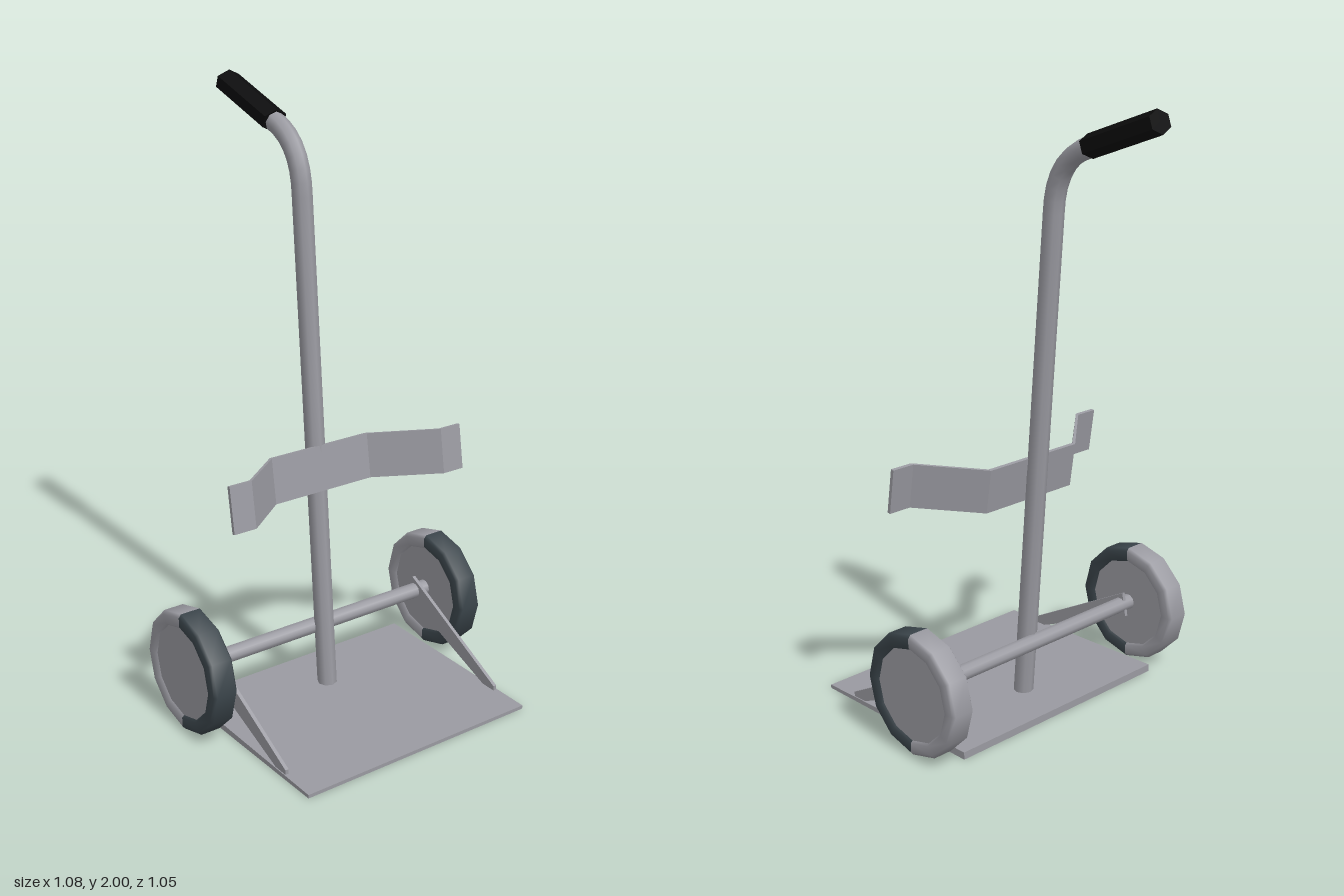
import * as THREE from 'three';

const mat = (name, color, side = THREE.FrontSide) =>
  Object.assign(new THREE.MeshStandardMaterial({ color, side }), { name });

export function createModel() {
  const group = new THREE.Group();
  const steel = mat('steel grey', 0x9a9aa1);
  const rubber = mat('tyre dark grey', 0x3a444a);
  const black = mat('grip black', 0x0b0b0c);

  const add = (name, geometry, material, x = 0, y = 0, z = 0) => {
    const mesh = new THREE.Mesh(geometry, material);
    mesh.name = name;
    mesh.position.set(x, y, z);
    group.add(mesh);
    return mesh;
  };
  const extrude = (points, depth) => new THREE.ExtrudeGeometry(
    new THREE.Shape(points.map(([x, y]) => new THREE.Vector2(x, y))),
    { depth, bevelEnabled: false }).translate(0, 0, -depth / 2);
  // Side profiles are given as [z, y] and extruded across x
  const sideProfile = (points, width) => extrude(points, width).rotateY(-Math.PI / 2);

  // Toe plate, thinner at its front lip
  add('toePlate', sideProfile([[-0.145, 0], [0.53, 0], [0.53, 0.012], [-0.145, 0.025]], 0.867), steel);

  // Leaning pole with a bend at the top
  const v = (y, z) => new THREE.Vector3(0, y, z);
  const path = new THREE.CurvePath();
  path.add(new THREE.LineCurve3(v(0.015, 0.035), v(1.68, -0.1)));
  path.add(new THREE.QuadraticBezierCurve3(v(1.68, -0.1), v(1.83, -0.115), v(1.87, -0.25)));
  add('pole', new THREE.TubeGeometry(path, 48, 0.033, 8), steel);

  // Faceted hand grip
  const from = v(1.87, -0.245), to = v(1.963, -0.511);
  const gripShape = new THREE.CylinderGeometry(0.047, 0.047, from.distanceTo(to), 6).scale(0.98, 1, 0.8);
  const grip = add('handGrip', gripShape, black);
  grip.position.copy(from).lerp(to, 0.5);
  grip.quaternion.setFromUnitVectors(new THREE.Vector3(0, 1, 0), to.clone().sub(from).normalize());
  gripShape.deleteAttribute('normal');
  grip.geometry = gripShape.toNonIndexed();
  grip.geometry.computeVertexNormals();

  // Bent load strap, square to the lean of the pole
  const bend = [[-0.452, 0.163], [-0.373, 0.163], [-0.19, 0], [0.187, 0], [0.367, 0.163], [0.447, 0.163]];
  const outline = [
    ...bend.map(([x, z]) => [x, z - 0.006]),
    ...bend.map(([x, z]) => [x, z + 0.006]).reverse(),
  ];
  const strap = add('loadStrap', extrude(outline, 0.15).rotateX(Math.PI / 2), steel, 0, 0.787, 0.003);
  strap.rotation.x = -0.15;

  // Axle
  add('axle', new THREE.CylinderGeometry(0.027, 0.027, 0.96, 10).rotateZ(Math.PI / 2), steel, 0, 0.215, -0.018);

  // Wheels: front half of each ring dark, back half grey, with a recessed disc
  const ring = [[0.153, -0.032], [0.163, -0.0425], [0.194, -0.0425], [0.205, -0.034],
    [0.205, 0.034], [0.194, 0.0425], [0.163, 0.0425], [0.153, 0.032]]
    .map(([r, h]) => new THREE.Vector2(r, h));
  const halfRing = (start) => new THREE.LatheGeometry(ring, 6, start, Math.PI).rotateZ(Math.PI / 2);

  for (const [label, s] of [['left', 1], ['right', -1]]) {
    const wheelAt = [s * 0.4975, 0.21, -0.015];
    add(label + 'TyreFront', halfRing(-Math.PI / 2), rubber, ...wheelAt);
    add(label + 'TyreBack', halfRing(Math.PI / 2), steel, ...wheelAt);
    add(label + 'WheelDisc',
      new THREE.CylinderGeometry(0.158, 0.158, 0.07, 12).rotateZ(Math.PI / 2), steel, ...wheelAt);

    // Tapered brace from the plate up to the axle
    add(label + 'Brace', sideProfile(
      [[0.36, 0.012], [0.405, 0.012], [0.405, 0.03], [-0.03, 0.263], [-0.045, 0.18]], 0.012),
    steel, s * 0.424);
  }
  return group;
}
